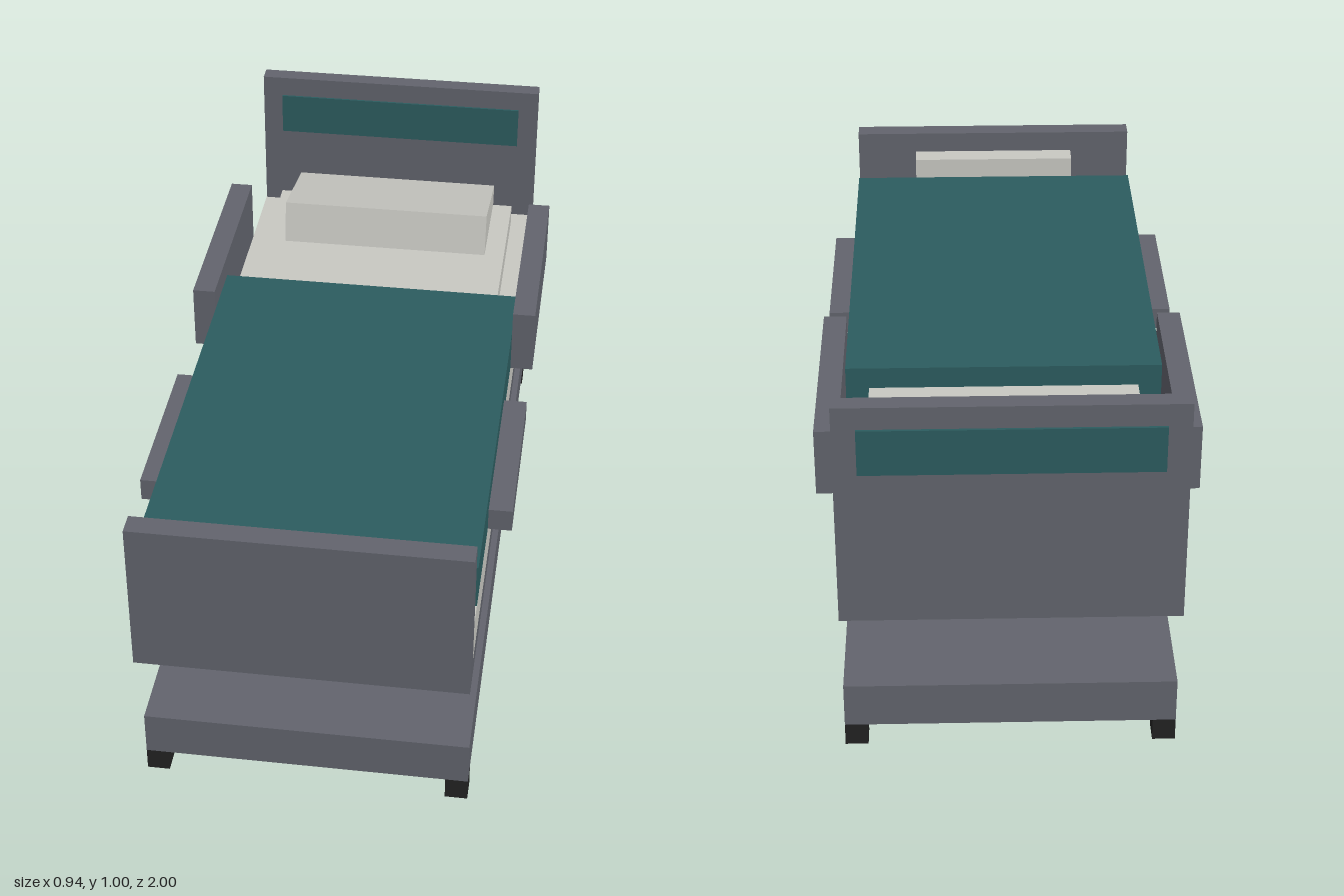
import * as THREE from 'three';

export function createModel() {
  const model = new THREE.Group();
  model.name = 'hospitalBed';

  const material = (name, color) => {
    const m = new THREE.MeshStandardMaterial({ color });
    m.name = name;
    return m;
  };
  const grey = material('greyFrame', 0x62646d);
  const teal = material('tealFabric', 0x2c5c5f);
  const cream = material('creamLinen', 0xc8c8c2);
  const black = material('blackRubber', 0x222222);

  // Box given by its extents along each axis
  const box = (name, mat, [x0, x1], [y0, y1], [z0, z1]) => {
    const mesh = new THREE.Mesh(new THREE.BoxGeometry(x1 - x0, y1 - y0, z1 - z0), mat);
    mesh.position.set((x0 + x1) / 2, (y0 + y1) / 2, (z0 + z1) / 2);
    mesh.name = name;
    model.add(mesh);
    return mesh;
  };
  const W = [-0.41, 0.41];

  // Base, lifting column and deck
  box('base', grey, W, [0.06, 0.178], [-0.94, 0.94]);
  box('column', grey, [-0.057, 0.057], [0.178, 0.415], [-0.528, 0.528]);
  box('deck', grey, W, [0.415, 0.472], [-0.94, 0.945]);

  // End boards; the teal panel passes through the headboard
  box('headboard', grey, W, [0.415, 1], [-0.993, -0.946]);
  box('headboardPanel', teal, [-0.354, 0.354], [0.825, 0.943], [-1, -0.94]);
  box('footboard', grey, W, [0.415, 0.825], [0.943, 1]);

  // Bedding
  box('mattress', cream, W, [0.472, 0.59], [-0.94, 0.943]);
  box('pillowPad', cream, [-0.35, 0.35], [0.59, 0.65], [-0.885, -0.2]);
  box('blanket', teal, W, [0.59, 0.708], [-0.298, 0.88]);
  box('footCushion', cream, [-0.236, 0.236], [0.65, 0.766], [0.88, 0.943]);

  // Pillow, tilted up towards the foot end
  const pillow = box('pillow', cream, [-0.294, 0.294], [0.617, 0.737], [-0.895, -0.605]);
  pillow.rotation.x = THREE.MathUtils.degToRad(-12);

  // Side rails and feet, mirrored left and right
  for (const s of [1, -1]) {
    const side = s > 0 ? 'left' : 'right';
    const span = (a, b) => (s > 0 ? [a, b] : [-b, -a]);
    box(side + 'HeadRail', grey, span(0.41, 0.47), [0.59, 0.766], [-0.706, -0.12]);
    box(side + 'FootRail', grey, span(0.41, 0.47), [0.59, 0.65], [0.118, 0.586]);
    box(side + 'FrontFoot', black, span(0.353, 0.41), [0, 0.06], [0.883, 0.94]);
    box(side + 'BackFoot', black, span(0.353, 0.41), [0, 0.06], [-0.94, -0.883]);
  }

  return model;
}
